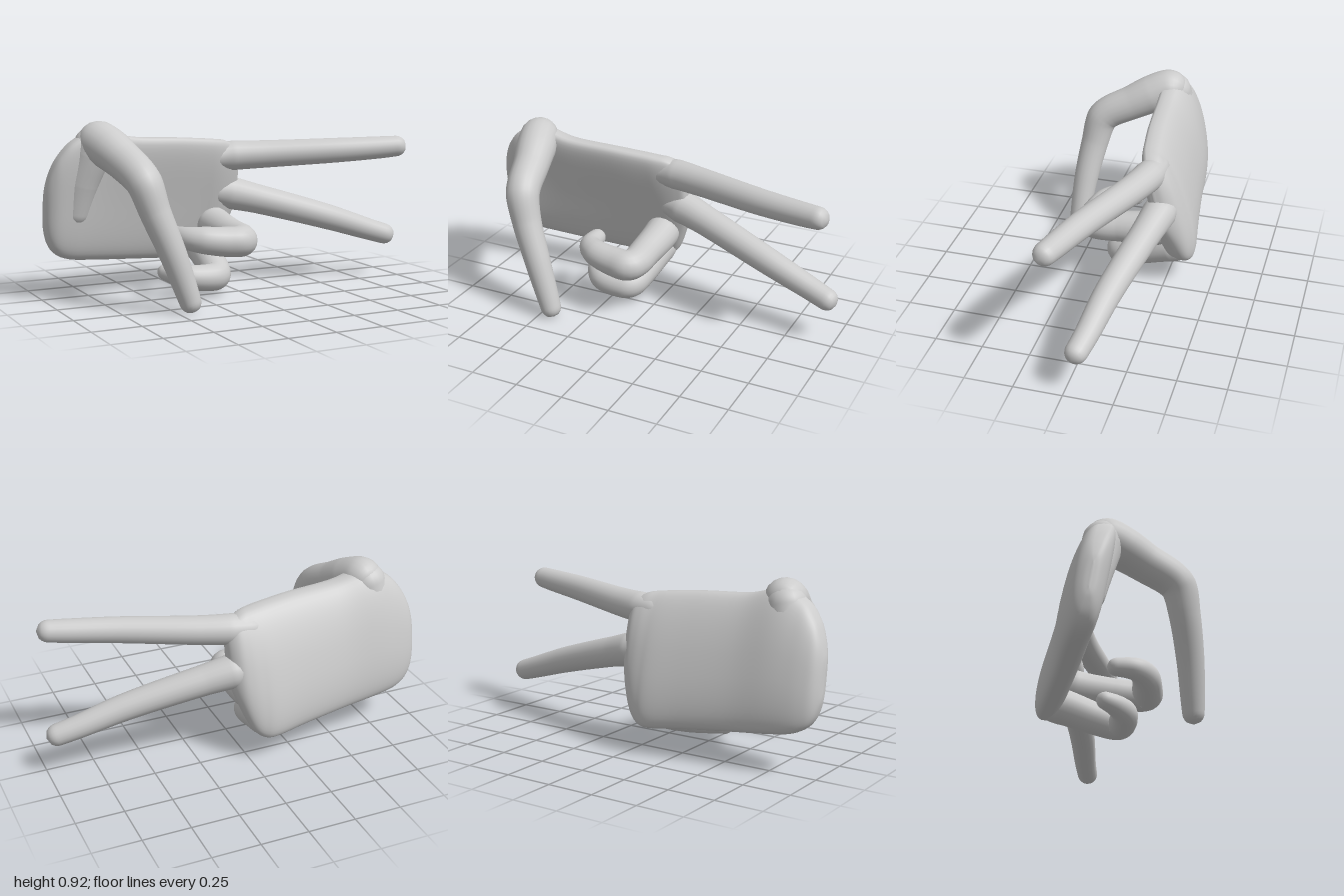
import * as THREE from 'three';
import { mergeVertices } from 'three/addons/utils/BufferGeometryUtils.js';

const skin = new THREE.MeshStandardMaterial({ color: 0xcccccc });

function smoothMesh(geometry, name) {
  geometry.deleteAttribute('normal');
  geometry.deleteAttribute('uv');
  const g = mergeVertices(geometry, 1e-5);
  g.computeVertexNormals();
  const mesh = new THREE.Mesh(g, skin);
  mesh.name = name;
  return mesh;
}

// Tapered tube with rounded ends; each joint is [x, y, z, radius]
function digit(name, joints) {
  const SEG = 96, SIDES = 20;
  const curve = new THREE.CatmullRomCurve3(joints.map(j => new THREE.Vector3(j[0], j[1], j[2])));
  const length = curve.getLength();
  const geo = new THREE.TubeGeometry(curve, SEG, 1, SIDES);
  const pos = geo.attributes.position, v = new THREE.Vector3();
  for (let i = 0; i <= SEG; i++) {
    const u = i / SEG;
    const s = curve.getUtoTmapping(u) * (joints.length - 1);
    const k = Math.min(Math.floor(s), joints.length - 2);
    let r = THREE.MathUtils.lerp(joints[k][3], joints[k + 1][3], s - k);
    const d = Math.min(u, 1 - u) * length;
    if (d < r) r *= Math.sqrt(Math.max(0, 1 - (1 - d / r) ** 2));
    const p = curve.getPointAt(u);
    for (let j = 0; j <= SIDES; j++) {
      const n = i * (SIDES + 1) + j;
      v.fromBufferAttribute(pos, n).sub(p).multiplyScalar(r).add(p);
      pos.setXYZ(n, v.x, v.y, v.z);
    }
  }
  return smoothMesh(geo, name);
}

// Bowed slab lofted along x; stations are
// [x, bottom y, top y, bottom z, middle z, top z, half thickness]
function palm() {
  const stations = [
    [-1.0, 0.41, 0.53, -0.2, -0.19, -0.18, 0.0],
    [-0.993, 0.355, 0.59, -0.205, -0.19, -0.17, 0.035],
    [-0.97, 0.285, 0.67, -0.215, -0.192, -0.155, 0.065],
    [-0.93, 0.235, 0.75, -0.225, -0.192, -0.135, 0.083],
    [-0.86, 0.205, 0.825, -0.24, -0.197, -0.118, 0.092],
    [-0.74, 0.19, 0.875, -0.258, -0.207, -0.112, 0.094],
    [-0.55, 0.175, 0.832, -0.28, -0.221, -0.113, 0.09],
    [-0.3, 0.155, 0.818, -0.316, -0.246, -0.128, 0.09],
    [-0.13, 0.138, 0.805, -0.343, -0.266, -0.148, 0.09],
    [-0.06, 0.145, 0.798, -0.338, -0.266, -0.158, 0.088],
    [-0.005, 0.195, 0.79, -0.322, -0.26, -0.172, 0.083],
    [0.045, 0.31, 0.765, -0.29, -0.247, -0.185, 0.07],
    [0.082, 0.42, 0.72, -0.255, -0.228, -0.19, 0.042],
    [0.095, 0.5, 0.66, -0.24, -0.22, -0.2, 0.0],
  ];
  const track = stations[0].map((_, c) =>
    new THREE.CatmullRomCurve3(stations.map((s, i) => new THREE.Vector3(s[c], i, 0)), false, 'catmullrom', 0.5));
  const ROWS = 78, SIDES = 48, verts = [], index = [];
  const bend = (p, q) => Math.sign(p) * Math.abs(p) ** q;
  for (let i = 0; i <= ROWS; i++) {
    const [x, yb, yt, zb, zm, zt, h] = track.map(c => c.getPoint(i / ROWS).x);
    for (let j = 0; j < SIDES; j++) {
      const a = (j / SIDES) * Math.PI * 2;
      const t = 0.5 + 0.5 * bend(Math.sin(a), 0.85);
      const z = zb * (1 - t) * (1 - 2 * t) + 4 * zm * t * (1 - t) + zt * t * (2 * t - 1);
      verts.push(x, yb + (yt - yb) * t, z + Math.max(h, 0) * bend(Math.cos(a), 0.6));
      if (i < ROWS) {
        const p = i * SIDES + j, q = i * SIDES + (j + 1) % SIDES;
        index.push(p, p + SIDES, q, q, p + SIDES, q + SIDES);
      }
    }
  }
  // Close both ends
  const e = ROWS * SIDES;
  for (let j = 1; j < SIDES - 1; j++) index.push(0, j, j + 1, e, e + j + 1, e + j);
  const geo = new THREE.BufferGeometry();
  geo.setAttribute('position', new THREE.Float32BufferAttribute(verts, 3));
  geo.setIndex(index);
  return smoothMesh(geo, 'palm');
}

export function createModel() {
  const hand = new THREE.Group();
  hand.name = 'hand';
  hand.add(
    palm(),
    // Two straight fingers spread apart, rooted inside the palm
    digit('indexFinger', [[-0.25, 0.69, -0.195, 0.03], [-0.05, 0.7, -0.193, 0.07], [0.05, 0.704, -0.178, 0.08],
      [0.2, 0.708, -0.135, 0.075], [0.6, 0.725, 0.005, 0.067], [0.85, 0.737, 0.075, 0.06], [0.97, 0.745, 0.105, 0.054]]),
    digit('middleFinger', [[-0.25, 0.54, -0.26, 0.03], [-0.02, 0.51, -0.247, 0.08], [0.06, 0.495, -0.235, 0.09],
      [0.2, 0.46, -0.205, 0.08], [0.6, 0.345, -0.115, 0.07], [0.85, 0.262, -0.075, 0.06], [0.997, 0.215, -0.045, 0.055]]),
    // Two fingers curled in front of the palm
    digit('ringFinger', [[-0.06, 0.38, -0.34, 0.07], [-0.05, 0.335, -0.2, 0.094], [-0.05, 0.31, 0, 0.083],
      [-0.05, 0.302, 0.13, 0.08], [-0.073, 0.3, 0.17, 0.08], [-0.15, 0.302, 0.165, 0.078],
      [-0.27, 0.315, 0.14, 0.07], [-0.335, 0.322, 0.085, 0.058], [-0.35, 0.325, -0.06, 0.042]]),
    digit('littleFinger', [[-0.09, 0.23, -0.39, 0.08], [-0.095, 0.21, -0.27, 0.092], [-0.115, 0.135, -0.08, 0.08],
      [-0.133, 0.103, 0.005, 0.075], [-0.16, 0.097, 0.028, 0.073], [-0.29, 0.105, 0.03, 0.065],
      [-0.35, 0.115, -0.015, 0.054], [-0.41, 0.13, -0.11, 0.038]]),
    // Fleshy mound joining the thumb to the palm
    digit('thumbMound', [[-0.73, 0.89, -0.1, 0.1], [-0.765, 0.75, -0.125, 0.1],
      [-0.81, 0.6, -0.158, 0.09], [-0.85, 0.38, -0.2, 0.07]]),
    // Thumb bent forward and down
    digit('thumb', [[-0.75, 0.8, -0.192, 0.1], [-0.735, 0.813, -0.1, 0.107], [-0.705, 0.778, 0, 0.106],
      [-0.675, 0.73, 0.1, 0.096], [-0.645, 0.668, 0.225, 0.09], [-0.632, 0.63, 0.263, 0.088],
      [-0.595, 0.5, 0.295, 0.077], [-0.52, 0.3, 0.328, 0.068], [-0.455, 0.11, 0.345, 0.058], [-0.42, 0.001, 0.353, 0.05]]),
  );
  return hand;
}
